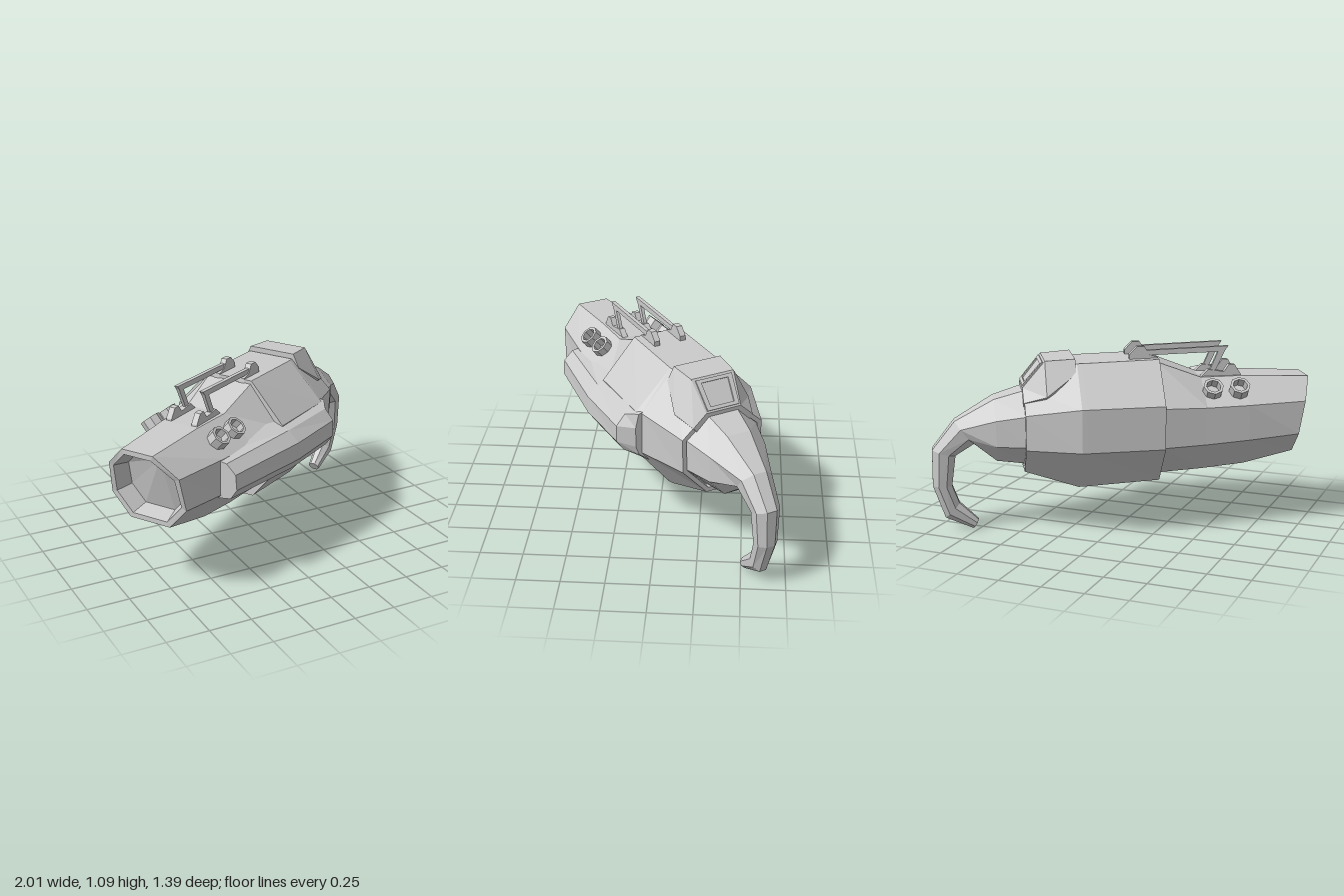
import * as THREE from 'three';

const grey = new THREE.MeshStandardMaterial({ color: 0xcccccc, flatShading: true });

// Skin a list of closed rings (arrays of [x, y, z]) and cap both ends
function loft(rings) {
  const pos = [];
  const tri = (a, b, c) => pos.push(...a, ...b, ...c);
  for (let i = 0; i < rings.length - 1; i++) {
    const p = rings[i], q = rings[i + 1], n = p.length;
    for (let j = 0; j < n; j++) {
      const k = (j + 1) % n;
      tri(p[j], p[k], q[k]);
      tri(p[j], q[k], q[j]);
    }
  }
  const first = rings[0], last = rings[rings.length - 1];
  for (let j = 1; j < first.length - 1; j++) {
    tri(first[0], first[j + 1], first[j]);
    tri(last[0], last[j], last[j + 1]);
  }
  const g = new THREE.BufferGeometry();
  g.setAttribute('position', new THREE.Float32BufferAttribute(pos, 3));
  g.computeVertexNormals();
  return g;
}

// Mirrored ring: half profile of [halfWidth, y] from top to bottom, lean shifts each level along x
function ring(x, half, lean = []) {
  const right = half.map(([w, y], i) => [x + (lean[i] || 0), y, w]);
  const left = right.map(([a, y, w]) => [a, y, -w]).reverse();
  return [...right, ...left];
}

// Shrink a ring about a centre height and move it along x
const inset = (r, s, cy, dx = 0) => r.map(([x, y, z]) => [x + dx, cy + (y - cy) * s, z * s]);

function add(parent, name, geometry) {
  const m = new THREE.Mesh(geometry, grey);
  m.name = name;
  parent.add(m);
  return m;
}

// Flat plate cut from a side outline, centred on z
function plate(points, thickness) {
  const shape = new THREE.Shape(points.map(([x, y]) => new THREE.Vector2(x, y)));
  return new THREE.ExtrudeGeometry(shape, { depth: thickness, bevelEnabled: false })
    .translate(0, 0, -thickness / 2);
}

export function createModel() {
  const model = new THREE.Group();
  model.name = 'vessel';
  model.rotation.y = 0.55;
  model.position.set(-0.022, 0, -0.036);

  // Fore hull with a raked, recessed mouth
  const bow = ring(-0.97, [[0.1, 0.88], [0.23, 0.755], [0.245, 0.56], [0.13, 0.43]],
    [-0.097, -0.045, -0.005, 0]);
  const mouth = inset(bow, 0.87, 0.655);
  add(model, 'foreHull', loft([
    inset(mouth, 0.86, 0.655, 0.1), mouth, bow,
    ring(-0.66, [[0.115, 0.9], [0.285, 0.755], [0.285, 0.545], [0.15, 0.37]]),
    ring(-0.4, [[0.125, 0.9], [0.31, 0.755], [0.31, 0.535], [0.155, 0.35]]),
    ring(-0.13, [[0.145, 1.005], [0.34, 0.765], [0.335, 0.53], [0.15, 0.335]]),
  ]));

  // Main hull: the left flank steps in behind the pod, and a collar holds the tail
  const mid = ring(0.31, [[0.15, 1.01], [0.37, 0.785], [0.37, 0.53], [0.16, 0.272]]);
  const stepped = mid.map(([x, y, z]) => [x + 0.03, y, z > 0 ? z * 0.95 : z]);
  const collar = ring(0.65, [[0.11, 0.865], [0.255, 0.735], [0.25, 0.53], [0.095, 0.362]]);
  const collarLip = inset(collar, 0.9, 0.63);
  add(model, 'mainHull', loft([
    ring(-0.145, [[0.15, 1.02], [0.36, 0.785], [0.36, 0.53], [0.16, 0.292]]),
    mid, stepped, collar, collarLip, inset(collarLip, 0.98, 0.63, -0.03),
  ]));

  // Raised hood on the rear deck, its flanks flush with the hull shoulders
  add(model, 'hood', loft([
    ring(0.35, [[0.15, 1.038], [0.19, 0.957], [0.17, 0.9]]),
    ring(0.525, [[0.135, 1.028], [0.24, 0.837], [0.2, 0.8]]),
    ring(0.655, [[0.11, 0.87], [0.19, 0.796], [0.16, 0.76]]),
  ]));

  // Window frame lying on the hood's rear slope
  const frame = new THREE.Shape([[-0.1, -0.09], [0.1, -0.09], [0.115, 0.09], [-0.115, 0.09]]
    .map(p => new THREE.Vector2(...p)));
  frame.holes.push(new THREE.Path([[-0.075, -0.07], [-0.085, 0.07], [0.085, 0.07], [0.075, -0.07]]
    .map(p => new THREE.Vector2(...p))));
  const win = add(model, 'windowFrame',
    new THREE.ExtrudeGeometry(frame, { depth: 0.016, bevelEnabled: false }));
  win.rotation.set(-0.7, Math.PI / 2, 0, 'YXZ');
  win.position.set(0.585, 0.943, 0);

  // Rounded side pod on the left flank
  const podRing = (x, ...profile) => profile.map(([w, y]) => [x, y, w]);
  add(model, 'sidePod', loft([
    podRing(-0.69, [0.22, 0.76], [0.32, 0.745], [0.378, 0.69], [0.385, 0.6], [0.345, 0.54], [0.22, 0.52]),
    podRing(-0.14, [0.28, 0.81], [0.4, 0.765], [0.465, 0.7], [0.47, 0.6], [0.425, 0.535], [0.3, 0.47]),
    podRing(0.27, [0.3, 0.81], [0.42, 0.765], [0.475, 0.7], [0.475, 0.6], [0.435, 0.54], [0.3, 0.47]),
    podRing(0.345, [0.3, 0.8], [0.37, 0.785], [0.39, 0.7], [0.39, 0.58], [0.37, 0.525], [0.3, 0.47]),
  ]));

  // Hooked tail: [outer x, outer y, inner x, inner y, half width]
  const tail = [
    [0.63, 0.855, 0.63, 0.41, 0.228],
    [0.82, 0.8, 0.81, 0.43, 0.175],
    [1.05, 0.67, 0.94, 0.53, 0.095],
    [1.185, 0.5, 1.05, 0.46, 0.075],
    [1.188, 0.28, 1.075, 0.275, 0.062],
    [1.12, 0.08, 1.035, 0.165, 0.05],
    [0.957, 0.002, 0.925, 0.055, 0.034],
  ].map(([ox, oy, ix, iy, w]) => Array.from({ length: 8 }, (_, k) => {
    const t = (k + 0.5) * Math.PI / 4, s = 1 / Math.cos(Math.PI / 8);
    const c = 0.5 * s * Math.cos(t);
    return [(ox + ix) / 2 + (ox - ix) * c, (oy + iy) / 2 + (oy - iy) * c, w * s * Math.sin(t)];
  }));
  add(model, 'tail', loft(tail));

  // Hollow octagonal ports, two on each shoulder
  const port = new THREE.LatheGeometry([[0.06, -0.09], [0.06, 0.045], [0.043, 0.045], [0.043, -0.06]]
    .map(p => new THREE.Vector2(...p)), 8);
  const floor = new THREE.CylinderGeometry(0.045, 0.045, 0.02, 8);
  for (const side of [-1, 1]) {
    for (const x of [-0.61, -0.45]) {
      const g = new THREE.Group();
      g.name = 'port';
      add(g, 'portTube', port);
      add(g, 'portFloor', floor).position.y = -0.02;
      g.position.set(x, 0.835, side * 0.212);
      g.rotation.x = side * 0.7;
      model.add(g);
    }
  }

  // Twin deck rails: brackets, bar and strut
  const lowBracket = [[-0.65, 0.88], [-0.645, 0.91], [-0.61, 0.965], [-0.575, 0.968],
    [-0.545, 0.925], [-0.45, 0.94], [-0.395, 0.89], [-0.395, 0.87]];
  const topBracket = [[-0.15, 0.99], [-0.145, 1.025], [-0.095, 1.04], [-0.065, 1.09],
    [-0.02, 1.09], [0.025, 1.045], [0.025, 0.99]];
  const bar = [[-0.57, 1.078], [-0.545, 1.045], [-0.03, 1.035], [-0.03, 1.065]];
  const strut = [[-0.555, 1.06], [-0.475, 0.89], [-0.44, 0.89], [-0.515, 1.06]];
  for (const side of [-1, 1]) {
    const rail = new THREE.Group();
    rail.name = 'deckRail';
    rail.position.z = side * 0.084;
    add(rail, 'lowBracket', plate(lowBracket, 0.036));
    add(rail, 'topBracket', plate(topBracket, 0.036));
    add(rail, 'bar', plate(bar, 0.024));
    add(rail, 'strut', plate(strut, 0.02));
    model.add(rail);
  }

  const root = new THREE.Group();
  root.add(model);
  return root;
}
